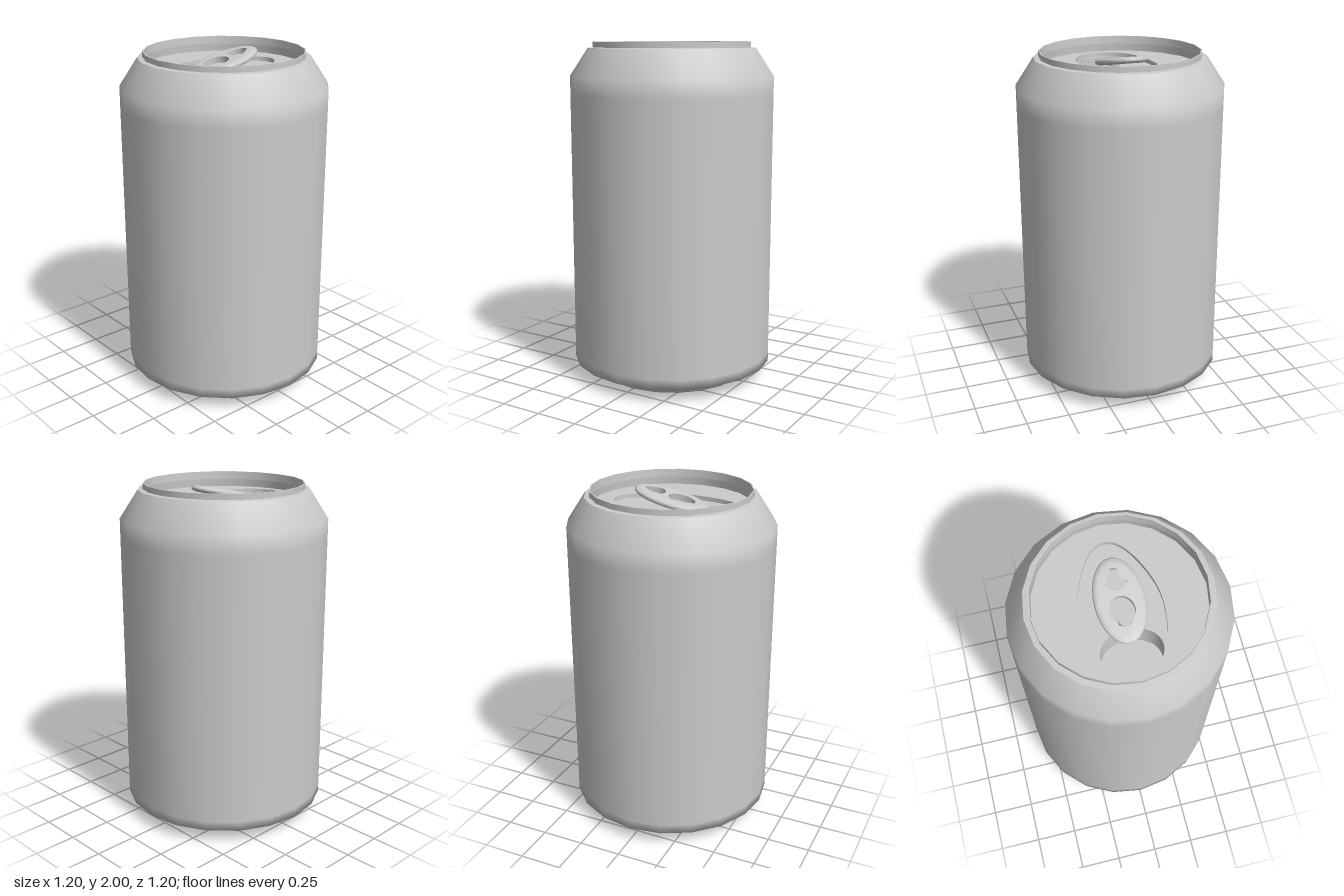
import * as THREE from 'three';
import { toCreasedNormals } from 'three/addons/utils/BufferGeometryUtils.js';

const SIDES = 20;
const LID_Y = 1.91, PANEL_Y = 1.885, OPENING_DEPTH = 0.16;

export function createModel() {
  const can = new THREE.Group();
  can.name = 'drinkCan';
  const material = new THREE.MeshStandardMaterial({ color: 0xcccccc });

  const add = (name, geometry, parent = can) => {
    const mesh = new THREE.Mesh(geometry, material);
    mesh.name = name;
    parent.add(mesh);
    return mesh;
  };
  const lathe = (name, points) =>
    add(name, new THREE.LatheGeometry(points.map(([r, y]) => new THREE.Vector2(r, y)), SIDES));
  const ellipse = (Type, x, rx, ry) => new Type().absellipse(x, 0, rx, ry, 0, Math.PI * 2, false, 0);

  // Horizontal plate whose top face lies at the given height
  const plate = (name, shape, top, depth, curveSegments) => {
    const geometry = new THREE.ExtrudeGeometry(shape, { depth, bevelEnabled: false, curveSegments });
    geometry.rotateX(-Math.PI / 2).translate(0, top - depth, 0);
    return add(name, toCreasedNormals(geometry, 0.6));
  };

  // Shell: concave base, standing ring, wall with shoulder, rim
  const dome = [];
  for (let i = 0; i <= 6; i++) {
    const r = 0.425 * i / 6;
    dome.push([r, 0.01 + 0.13 * (1 - (r / 0.425) ** 2)]);
  }
  lathe('baseDome', dome);
  lathe('baseRing', [[0.425, 0.01], [0.43, 0], [0.44, 0], [0.45, 0.015]]);
  lathe('body', [[0.45, 0.015], [0.6, 0.085], [0.6, 0.14], [0.6, 1.7], [0.6, 1.805], [0.495, 1.965]]);
  lathe('shoulderLedge', [[0.495, 1.965], [0.465, 1.968]]);
  lathe('rimOuter', [[0.465, 1.968], [0.465, 2]]);
  lathe('rimTop', [[0.465, 2], [0.457, 2]]);
  lathe('rimInner', [[0.457, 2], [0.455, 1.955]]);
  lathe('rimSeat', [[0.455, 1.955], [0.46, LID_Y - 0.005]]);

  // Egg-shaped outline of the pressed panel, mirrored front to back
  const half = [[0.355, 0], [0.335, 0.06], [0.26, 0.125], [0.1, 0.197], [-0.03, 0.22],
    [-0.25, 0.19], [-0.35, 0.135], [-0.395, 0.07], [-0.41, 0]];
  const outline = [...half, ...half.slice(1, -1).reverse().map(([x, y]) => [x, -y])]
    .map(([x, y]) => new THREE.Vector3(x, y, 0));
  const egg = new THREE.CatmullRomCurve3(outline, true).getPoints(48).slice(0, -1)
    .map((p) => new THREE.Vector2(p.x, p.y));

  // Lid with the recessed panel and the drinking opening
  const corners = Array.from({ length: SIDES }, (_, i) => {
    const a = i / SIDES * Math.PI * 2;
    return new THREE.Vector2(0.46 * Math.cos(a), 0.46 * Math.sin(a));
  });
  const lid = new THREE.Shape(corners);
  lid.holes.push(new THREE.Path(egg));
  plate('lid', lid, LID_Y, LID_Y - PANEL_Y, 12);

  const panel = new THREE.Shape(egg);
  panel.holes.push(ellipse(THREE.Path, -0.265, 0.125, 0.165));
  plate('recessedPanel', panel, PANEL_Y, OPENING_DEPTH, 16);
  plate('openingFloor', ellipse(THREE.Shape, -0.265, 0.13, 0.17), PANEL_Y - OPENING_DEPTH, 0.01, 16);

  // Rivet under the tab
  add('rivet', new THREE.CylinderGeometry(0.03, 0.03, 0.05, 16)).position.set(-0.105, 1.893, 0);

  // Pull tab: two finger holes, outer edge rounded by shrinking it towards both faces
  const thick = 0.036;
  const tabShape = ellipse(THREE.Shape, 0, 0.228, 0.133);
  tabShape.holes.push(ellipse(THREE.Path, -0.06, 0.079, 0.068), ellipse(THREE.Path, 0.108, 0.06, 0.06));
  const tabGeometry = new THREE.ExtrudeGeometry(tabShape,
    { depth: thick, steps: 6, bevelEnabled: false, curveSegments: 16 });
  const pos = tabGeometry.attributes.position;
  for (let i = 0; i < pos.count; i++) {
    const x = pos.getX(i), y = pos.getY(i);
    if (Math.hypot(x / 0.228, y / 0.133) < 0.98) continue;
    const t = 2 * pos.getZ(i) / thick - 1;
    const s = 0.84 + 0.16 * Math.sqrt(Math.max(0, 1 - t * t));
    pos.setXY(i, x * s, y * s);
  }
  tabGeometry.translate(0, 0, -thick / 2).rotateX(-Math.PI / 2);
  const tab = add('pullTab', toCreasedNormals(tabGeometry, 0.7));
  tab.position.y = 1.938;
  tab.rotation.z = 0.21;

  return can;
}
